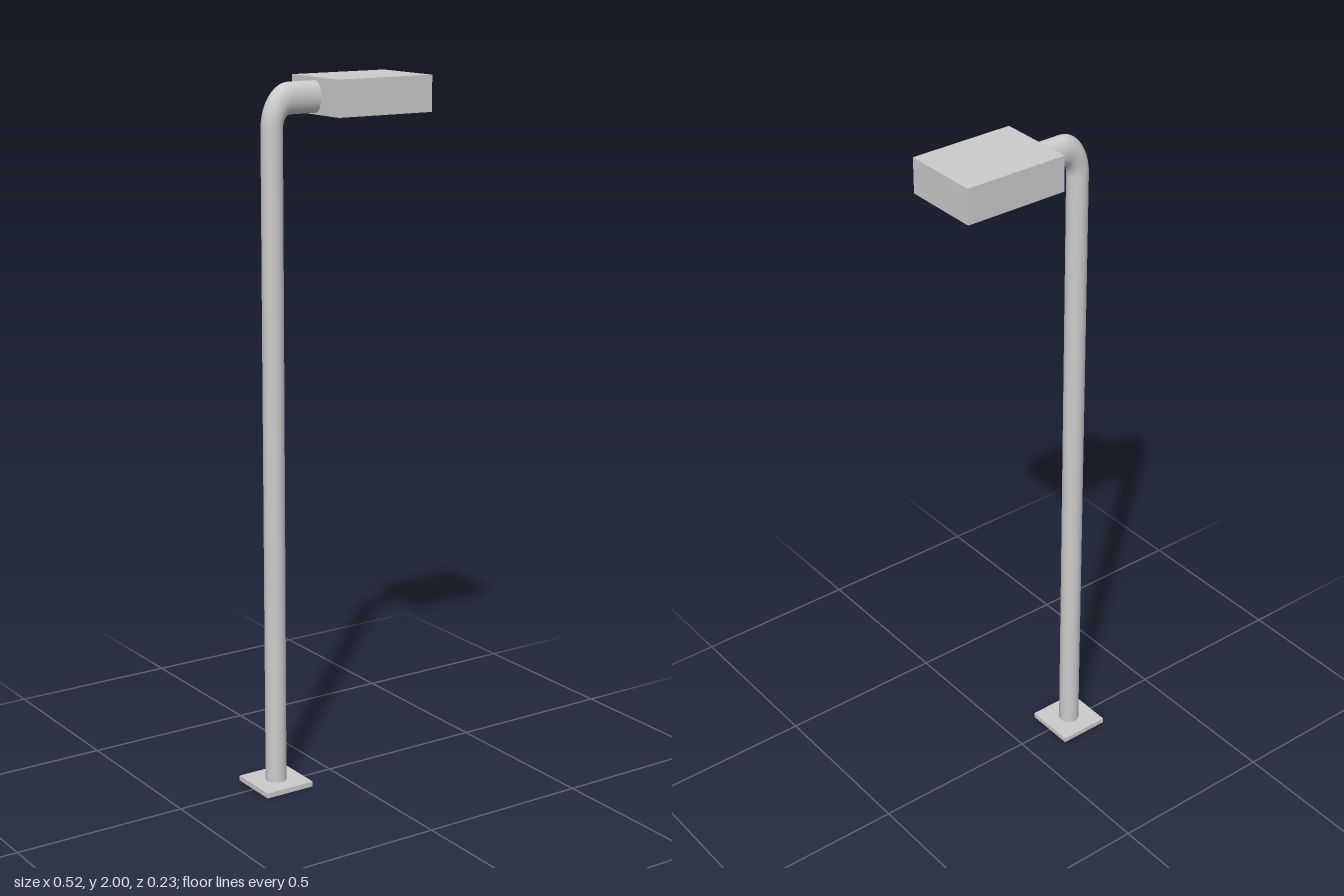
import * as THREE from 'three';

export function createModel() {
  const group = new THREE.Group();
  const material = new THREE.MeshStandardMaterial({ color: 0xcccccc });
  const add = (name, geometry, x, y, z = 0) => {
    const mesh = new THREE.Mesh(geometry, material);
    mesh.name = name;
    mesh.position.set(x, y, z);
    group.add(mesh);
    return mesh;
  };

  const poleX = -0.185, radius = 0.03, sides = 24;
  const bend = 0.055;      // centreline radius of the elbow
  const stretch = 1.45;    // elbow and arm are taller than they are wide
  const armY = 1.948, bendY = armY - bend * stretch;
  const headLeft = -0.047, headLength = 0.305, headWidth = 0.228;
  const headX = headLeft + headLength / 2;

  // Square foot plate
  add('basePlate', new THREE.BoxGeometry(0.152, 0.015, 0.152), poleX, 0.0075);

  // Upright pole
  const poleHeight = bendY - 0.015;
  add('pole', new THREE.CylinderGeometry(radius, radius, poleHeight, sides, 1, true),
    poleX, 0.015 + poleHeight / 2);

  // Quarter-turn elbow
  const elbow = new THREE.TorusGeometry(bend, radius, sides, 10, Math.PI / 2);
  elbow.rotateZ(Math.PI / 2).scale(1, stretch, 1);
  add('elbow', elbow, poleX + bend, bendY);

  // Horizontal arm, ending at the lamp head
  const armStart = poleX + bend, armLength = headLeft - armStart;
  const arm = new THREE.CylinderGeometry(radius, radius, armLength, sides, 1, true);
  arm.rotateZ(Math.PI / 2).scale(1, stretch, 1);
  add('arm', arm, armStart + armLength / 2, armY);

  // Lamp head: solid housing above a thin rim that leaves the light panel recessed
  const recess = 0.02, rimWidth = 0.01, headBottom = 1.9, headHeight = 0.1;
  add('lampHousing', new THREE.BoxGeometry(headLength, headHeight - recess, headWidth),
    headX, headBottom + recess + (headHeight - recess) / 2);

  const rectangle = (path, w, h) => path
    .moveTo(-w / 2, -h / 2).lineTo(w / 2, -h / 2)
    .lineTo(w / 2, h / 2).lineTo(-w / 2, h / 2).closePath();
  const rim = rectangle(new THREE.Shape(), headLength, headWidth);
  rim.holes.push(rectangle(new THREE.Path(), headLength - 2 * rimWidth, headWidth - 2 * rimWidth));
  const rimGeometry = new THREE.ExtrudeGeometry(rim, { depth: recess, bevelEnabled: false });
  rimGeometry.rotateX(-Math.PI / 2);
  add('lampRim', rimGeometry, headX, headBottom);

  return group;
}
